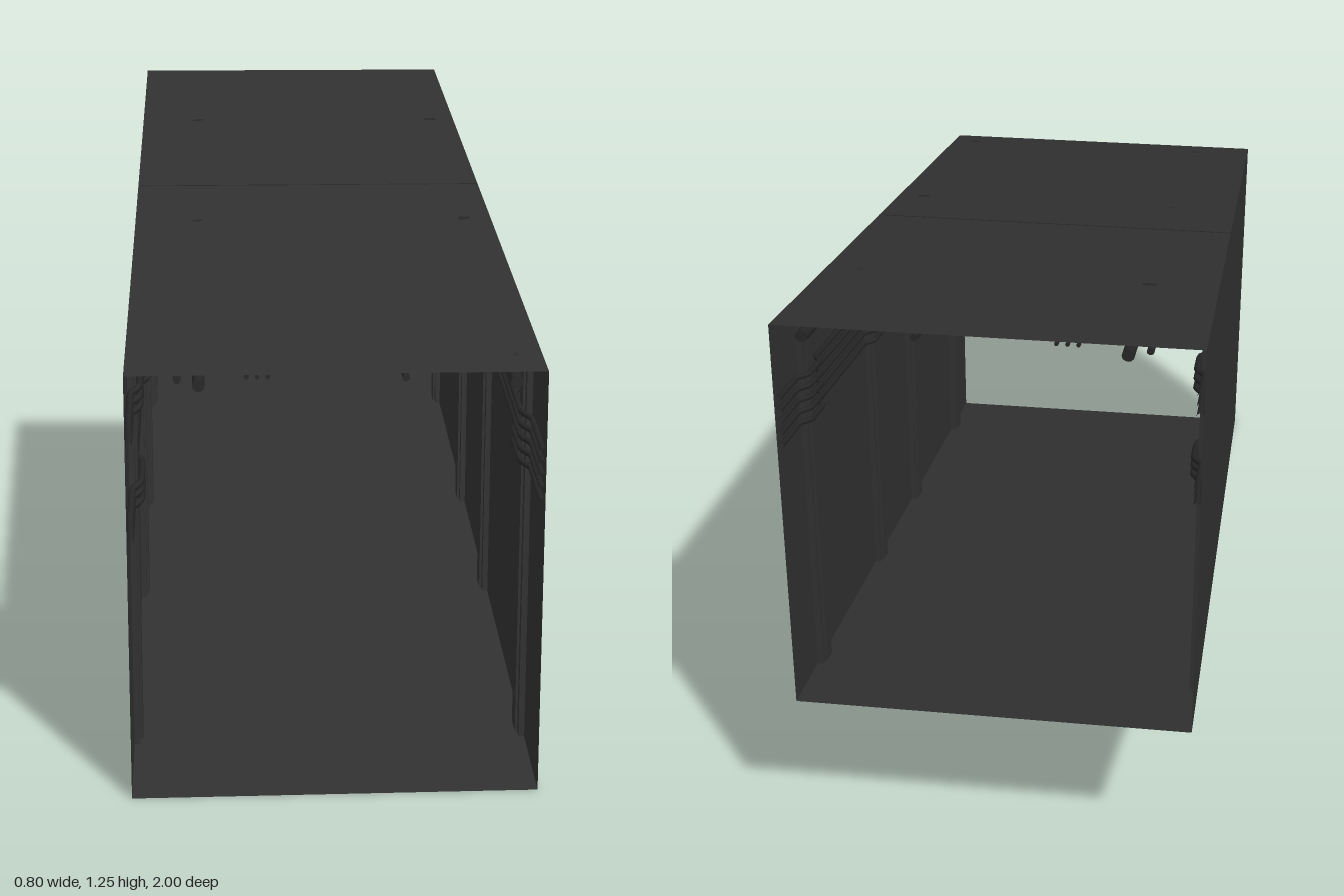
import * as THREE from 'three';

const W = 0.4, H = 0.85, SLOPE = 0.2;
const POST_Z = [0.785, 0.215, -0.215, -0.785];

export function createModel() {
  const root = new THREE.Group();
  root.name = 'slopedCorridor';
  const panel = new THREE.MeshStandardMaterial({ color: 0x303030, side: THREE.DoubleSide });
  panel.name = 'dark grey panel';
  const metal = new THREE.MeshStandardMaterial({ color: 0x252525 });
  metal.name = 'darker pipe metal';

  // everything is laid out level, then sheared so the floor climbs towards the back
  const shear = new THREE.Matrix4().set(
    1, 0, 0, 0,
    0, 1, -SLOPE, SLOPE,
    0, 0, 1, 0,
    0, 0, 0, 1);
  function add(name, geo, mat, parent = root) {
    geo.applyMatrix4(shear);
    const mesh = new THREE.Mesh(geo, mat);
    mesh.name = name;
    parent.add(mesh);
  }
  function group(name) {
    const g = new THREE.Group();
    g.name = name;
    root.add(g);
    return g;
  }
  const box = (w, h, d, x, y, z) => new THREE.BoxGeometry(w, h, d).translate(x, y, z);

  // shell, open at both ends
  add('floor', new THREE.PlaneGeometry(2 * W, 2).rotateX(-Math.PI / 2), panel);
  add('ceiling', new THREE.PlaneGeometry(2 * W, 2).rotateX(-Math.PI / 2).translate(0, H, 0), panel);
  for (const s of [1, -1]) {
    add(s > 0 ? 'leftWall' : 'rightWall',
      new THREE.PlaneGeometry(2, H).rotateY(s * Math.PI / 2).translate(s * W, H / 2, 0), panel);
  }

  // wall posts: a wide plate with a raised rib
  const posts = group('wallPosts');
  for (const s of [1, -1]) for (const z of POST_Z) {
    add('postPlate', box(0.012, H - 0.002, 0.075, s * (W - 0.006), H / 2, z), panel, posts);
    add('postRib', box(0.017, H - 0.002, 0.04, s * (W - 0.0085), H / 2, z), panel, posts);
  }

  // wall pipes that step out around every post
  function wallPipe(side, y, r, parent) {
    const near = side * (W - r - 0.001), far = side * (W - 0.018 - r);
    const pts = [new THREE.Vector3(near, y, 1)];
    for (const z of POST_Z) {
      pts.push(new THREE.Vector3(near, y, z + 0.075), new THREE.Vector3(far, y, z + 0.045),
        new THREE.Vector3(far, y, z - 0.045), new THREE.Vector3(near, y, z - 0.075));
    }
    pts.push(new THREE.Vector3(near, y, -1));
    const path = new THREE.CatmullRomCurve3(pts, false, 'catmullrom', 0);
    add('wallPipe', new THREE.TubeGeometry(path, 160, r, 8), metal, parent);
  }
  const leftPipes = group('leftWallPipes');
  for (let i = 0; i < 5; i++) wallPipe(1, 0.595 + i * 0.025, 0.006, leftPipes);
  const rightPipes = group('rightWallPipes');
  for (const y of [0.525, 0.545, 0.562, 0.715, 0.735, 0.755]) wallPipe(-1, y, 0.0065, rightPipes);

  // straight pipes and cables under the ceiling: x, radius, drop of the centre
  const ceilingPipes = group('ceilingPipes');
  const runs = [
    [-0.30, 0.007, 0.009], [-0.26, 0.012, 0.020], [-0.17, 0.004, 0.005], [-0.15, 0.004, 0.005],
    [-0.13, 0.004, 0.005], [0.13, 0.007, 0.009], [0.34, 0.012, 0.020],
  ];
  for (const [x, r, drop] of runs) {
    add('ceilingPipe', new THREE.CylinderGeometry(r, r, 2, 12).rotateX(Math.PI / 2)
      .translate(x, H - drop, 0), metal, ceilingPipes);
  }

  // clamps carrying the two large pipes
  const hangers = group('pipeHangers');
  for (const x of [-0.26, 0.34]) for (const z of [0.92, 0.18, -0.55]) {
    add('clampRing', new THREE.CylinderGeometry(0.015, 0.015, 0.02, 12).rotateX(Math.PI / 2)
      .translate(x, H - 0.02, z), metal, hangers);
    add('clampFoot', box(0.028, 0.018, 0.018, x, H - 0.009, z), metal, hangers);
  }

  // cross conduit and a thin panel seam over it
  add('crossConduit', new THREE.CylinderGeometry(0.004, 0.004, 2 * W, 8).rotateZ(Math.PI / 2)
    .translate(0, H - 0.004, -0.05), metal);
  add('ceilingSeam', box(2 * W, 0.001, 0.004, 0, H, -0.05), metal);
  return root;
}
